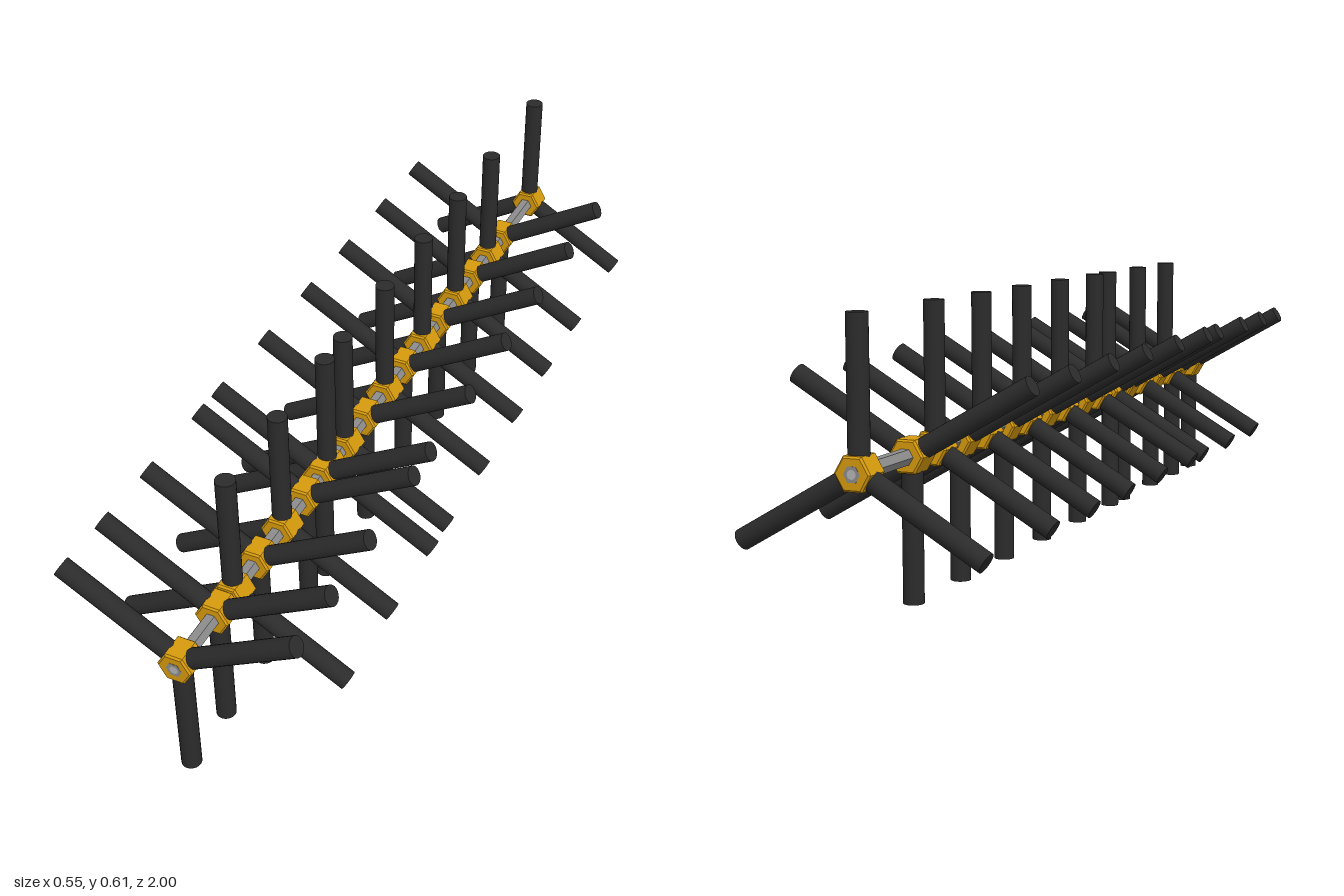
import * as THREE from 'three';

const AXIS_Y = 0.304, ROD_LENGTH = 0.304, ROD_RADIUS = 0.022;
const HUB_RADIUS = 0.039, HUB_DEPTH = 0.06;

// Hub positions along the shaft, by direction of the vertical rod
const UP = [-0.97, -0.657, -0.434, -0.222, 0, 0.222, 0.312, 0.533, 0.755];
const DOWN = [-0.758, -0.544, -0.323, -0.11, 0.111, 0.334, 0.423, 0.643, 0.82, 0.97];

const mat = (name, color) => {
  const m = new THREE.MeshStandardMaterial({ color });
  m.name = name;
  return m;
};

function add(parent, name, geometry, material) {
  const mesh = new THREE.Mesh(geometry, material);
  mesh.name = name;
  parent.add(mesh);
  return mesh;
}

// Hexagonal prism with chamfered edges, a corner on each side at +x and -x
function hubGeometry() {
  const bevel = 0.004;
  const points = Array.from({ length: 6 }, (_, i) => {
    const a = (i * Math.PI) / 3, r = HUB_RADIUS - bevel;
    return new THREE.Vector2(r * Math.cos(a), r * Math.sin(a));
  });
  const g = new THREE.ExtrudeGeometry(new THREE.Shape(points), {
    depth: HUB_DEPTH - 2 * bevel, bevelEnabled: true,
    bevelSize: bevel, bevelThickness: bevel, bevelSegments: 1,
  });
  return g.translate(0, 0, -HUB_DEPTH / 2 + bevel);
}

export function createModel() {
  const gold = mat('hub gold', 0xd69a0c);
  const black = mat('rod black', 0x2b2b2b);
  const steel = mat('shaft steel', 0x8c8c8c);
  const bright = mat('core light steel', 0xb4b4b4);

  const model = new THREE.Group();
  model.name = 'spokedShaft';
  const body = new THREE.Group();
  body.name = 'shaftAssembly';
  body.position.y = AXIS_Y;
  model.add(body);

  // Hexagonal shaft, corners at +x and -x, with a round core at each end
  const shaftGeo = new THREE.CylinderGeometry(0.018, 0.018, 2 * 0.999, 6).toNonIndexed();
  shaftGeo.computeVertexNormals();
  shaftGeo.rotateY(Math.PI / 6).rotateX(Math.PI / 2);
  add(body, 'shaft', shaftGeo, steel);
  // The shaft ends sit just proud of the hubs
  body.getObjectByName('shaft').scale.z = 1.0015;
  const coreGeo = new THREE.CircleGeometry(0.0095, 20);
  for (const s of [1, -1]) {
    const core = add(body, 'shaftCore', coreGeo, bright);
    core.position.z = s * 1.001;
    if (s < 0) core.rotation.y = Math.PI;
  }

  // Each hub carries three round rods, 120 degrees apart
  const hubGeo = hubGeometry();
  const start = 0.02;
  const rodGeo = new THREE.CylinderGeometry(ROD_RADIUS, ROD_RADIUS, ROD_LENGTH - start, 20)
    .translate(0, (ROD_LENGTH + start) / 2, 0);

  const addSpokes = (z, turn) => {
    const unit = new THREE.Group();
    unit.name = 'spokedHub';
    unit.position.z = z;
    unit.rotation.z = turn;
    add(unit, 'hub', hubGeo, gold);
    for (let i = 0; i < 3; i++) {
      add(unit, 'rod', rodGeo, black).rotation.z = (i * 2 * Math.PI) / 3;
    }
    body.add(unit);
  };
  UP.forEach((z) => addSpokes(z, 0));
  DOWN.forEach((z) => addSpokes(z, Math.PI));

  return model;
}
